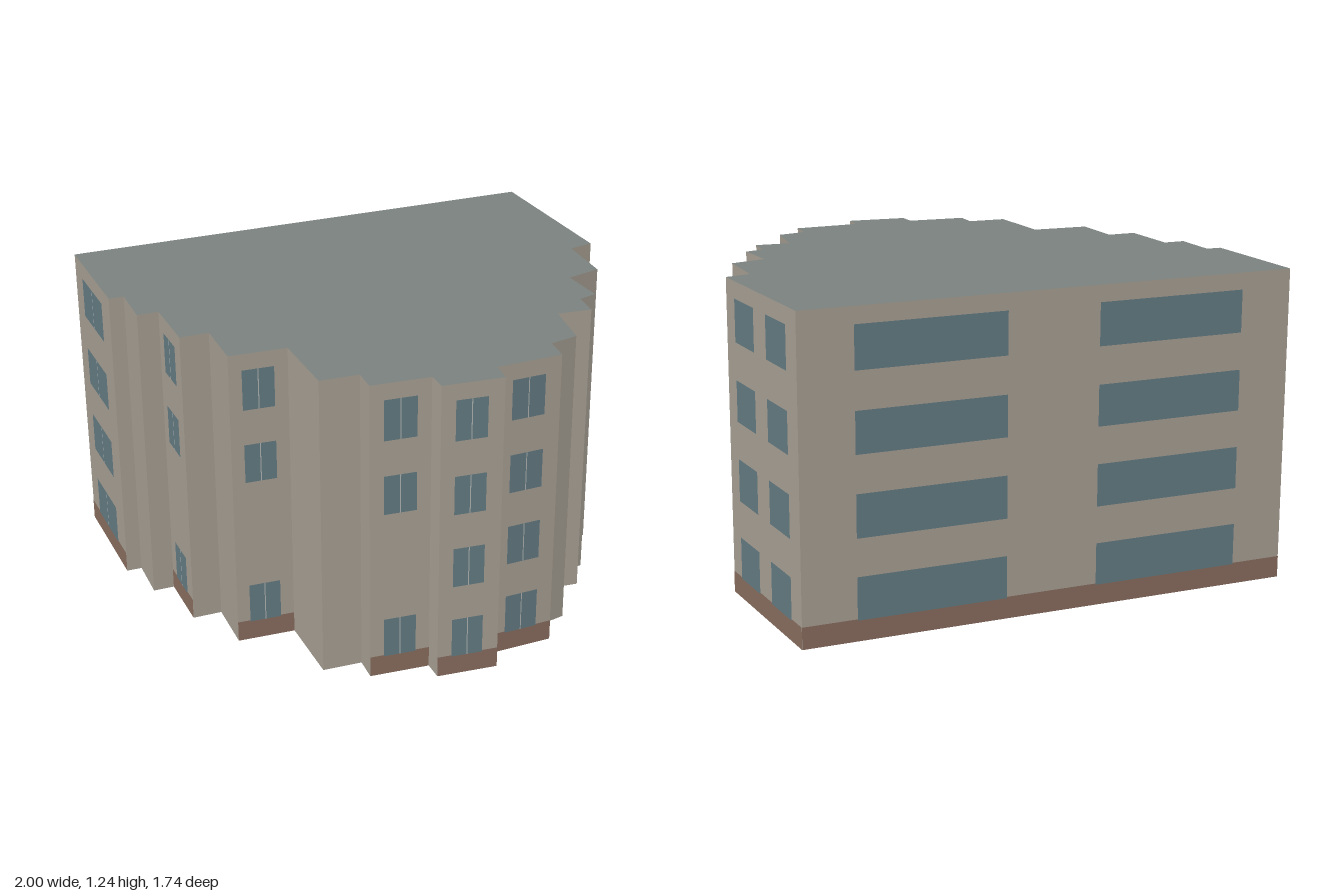
import * as THREE from 'three';

const HEIGHT = 1.235, PLINTH = 0.085;

// Stepped footprint as [x, z], from the back left corner along the left, front and right
const FOOTPRINT = [
  [-1, -0.87], [-1, -0.375], [-0.94, -0.372], [-0.945, -0.18], [-0.86, -0.178], [-0.86, 0.08],
  [-0.745, 0.083], [-0.75, 0.308], [-0.522, 0.325], [-0.52, 0.63], [-0.365, 0.64], [-0.37, 0.738],
  [-0.135, 0.76], [-0.135, 0.84], [0.105, 0.866], [0.115, 0.778], [0.38, 0.776], [0.39, 0.675],
  [0.505, 0.652], [0.538, 0.443], [0.675, 0.458], [0.685, 0.352], [0.76, 0.333], [0.748, 0.147],
  [0.89, 0.115], [0.9, -0.125], [1, -0.142], [0.975, -0.822],
];

// Window rows as [bottom, top]; some facades skip the second storey
const ROWS = [[0.08, 0.245], [0.39, 0.555], [0.7, 0.86], [1.005, 1.17]];
const THREE_ROWS = [ROWS[0], ROWS[2], ROWS[3]];

// Facades with windows, keyed by footprint edge; spans are fractions of the edge
const FACADES = {
  0: { rows: ROWS, spans: [[0.22, 0.78]], mullion: true },
  4: { rows: THREE_ROWS, spans: [[0.23, 0.76]], mullion: true },
  7: { rows: THREE_ROWS, spans: [[0.22, 0.765]], mullion: true },
  11: { rows: THREE_ROWS, spans: [[0.23, 0.77]], mullion: true },
  13: { rows: ROWS, spans: [[0.23, 0.74]], mullion: true },
  15: { rows: ROWS, spans: [[0.245, 0.755]], mullion: true },
  18: { rows: THREE_ROWS, spans: [[0.2, 0.73]], mullion: true },
  24: { rows: THREE_ROWS, spans: [[0.21, 0.74]], mullion: true },
  26: { rows: ROWS, spans: [[0.13, 0.41], [0.585, 0.865]] },
  27: { rows: ROWS, spans: [[0.107, 0.405], [0.592, 0.895]] },
};

const paint = (color, side = THREE.FrontSide) => new THREE.MeshStandardMaterial({ color, side });

export function createModel() {
  const building = new THREE.Group();
  building.name = 'building';
  const wallMat = paint(0xaca498, THREE.DoubleSide);
  const roofMat = paint(0x7d8481, THREE.DoubleSide);
  const plinthMat = paint(0x8d7061);
  const glassMat = paint(0x667f87);
  const mullionMat = paint(0xb5bab8);

  // Flat panel in a facade's own plane, raised by a hair so that layers stay apart
  const panel = (name, x0, x1, y0, y1, z, material) => {
    const mesh = new THREE.Mesh(new THREE.PlaneGeometry(x1 - x0, y1 - y0), material);
    mesh.position.set((x0 + x1) / 2, (y0 + y1) / 2, z);
    mesh.name = name;
    return mesh;
  };

  // One facade per footprint edge, local +z pointing outward
  FOOTPRINT.forEach(([ax, az], i) => {
    const [bx, bz] = FOOTPRINT[(i + 1) % FOOTPRINT.length];
    const length = Math.hypot(bx - ax, bz - az);
    const facade = new THREE.Group();
    facade.name = `facade${i + 1}`;
    facade.position.set(ax, 0, az);
    facade.rotation.y = Math.atan2(az - bz, bx - ax);
    facade.add(panel('wall', 0, length, 0, HEIGHT, 0, wallMat));

    const design = FACADES[i];
    if (design) {
      facade.add(panel('plinth', 0, length, 0, PLINTH, 0.001, plinthMat));
      for (const [t0, t1] of design.spans) {
        for (const [y0, y1] of design.rows) {
          const x0 = t0 * length, x1 = t1 * length, mid = (x0 + x1) / 2;
          facade.add(panel('window', x0, x1, y0, y1, 0.002, glassMat));
          if (design.mullion) {
            facade.add(panel('mullion', mid - 0.002, mid + 0.002, y0, y1, 0.003, mullionMat));
          }
        }
      }
    }
    building.add(facade);
  });

  // Flat roof; the underside of the building is open
  const outline = new THREE.Shape(FOOTPRINT.map(([x, z]) => new THREE.Vector2(x, -z)));
  const roof = new THREE.Mesh(new THREE.ShapeGeometry(outline).rotateX(-Math.PI / 2), roofMat);
  roof.position.y = HEIGHT;
  roof.name = 'roof';
  building.add(roof);

  return building;
}
